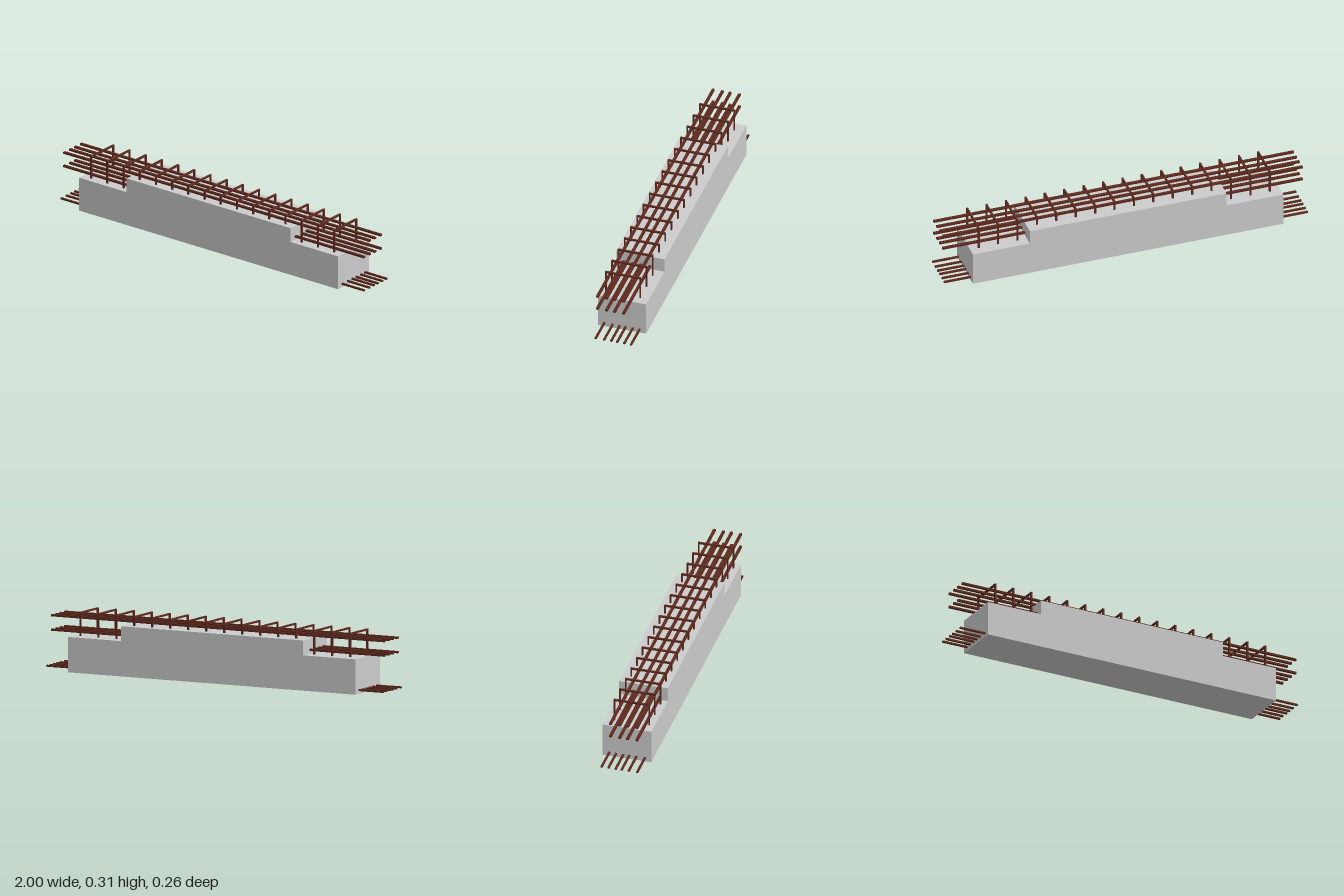
import * as THREE from 'three';

export function createModel() {
  const model = new THREE.Group();
  const concrete = new THREE.MeshStandardMaterial({ color: 0xcccccc });
  const steel = new THREE.MeshStandardMaterial({ color: 0x5e2a1e });

  function box(parent, name, size, position) {
    const mesh = new THREE.Mesh(new THREE.BoxGeometry(...size), steel);
    mesh.name = name;
    mesh.position.set(...position);
    parent.add(mesh);
  }

  // Concrete beam: stepped side profile, lower at both ends
  const depth = 0.264;
  const profile = new THREE.Shape([
    [-0.853, 0], [0.853, 0], [0.853, 0.186], [0.54, 0.186],
    [0.54, 0.264], [-0.54, 0.264], [-0.54, 0.186], [-0.853, 0.186],
  ].map(([x, y]) => new THREE.Vector2(x, y)));
  const beamGeometry = new THREE.ExtrudeGeometry(profile, { depth, bevelEnabled: false });
  beamGeometry.translate(0, 0, -depth / 2);
  const beam = new THREE.Mesh(beamGeometry, concrete);
  beam.name = 'concreteBeam';
  model.add(beam);

  // Bottom reinforcing bars, running through the beam
  const bottomBars = new THREE.Group();
  bottomBars.name = 'bottomBars';
  for (const z of [0.097, 0.051, 0.0125, -0.02, -0.059, -0.096]) {
    box(bottomBars, 'bottomBar', [2, 0.009, 0.0105], [0, 0.02, z]);
  }
  model.add(bottomBars);

  // Two layers of top reinforcing bars
  const topBars = new THREE.Group();
  topBars.name = 'topBars';
  for (const y of [0.205, 0.281]) {
    for (const z of [0.09, 0.04, -0.003, -0.053]) {
      box(topBars, 'topBar', [1.98, 0.0105, 0.014], [0.005, y, z]);
    }
  }
  model.add(topBars);

  // Row of U-shaped stirrups over the top bars
  const front = 0.107, back = -0.088, low = 0.188, high = 0.315;
  const legWidth = 0.007, capHeight = 0.009, thickness = 0.01;
  for (let i = 0; i < 16; i++) {
    const stirrup = new THREE.Group();
    stirrup.name = 'stirrup';
    stirrup.position.x = -0.795 + i * 0.1067;
    box(stirrup, 'stirrupTop', [thickness, capHeight, front - back],
      [0, high - capHeight / 2, (front + back) / 2]);
    const legHeight = high - capHeight - low;
    for (const z of [front - legWidth / 2, back + legWidth / 2]) {
      box(stirrup, 'stirrupLeg', [thickness, legHeight, legWidth], [0, low + legHeight / 2, z]);
    }
    model.add(stirrup);
  }

  return model;
}
